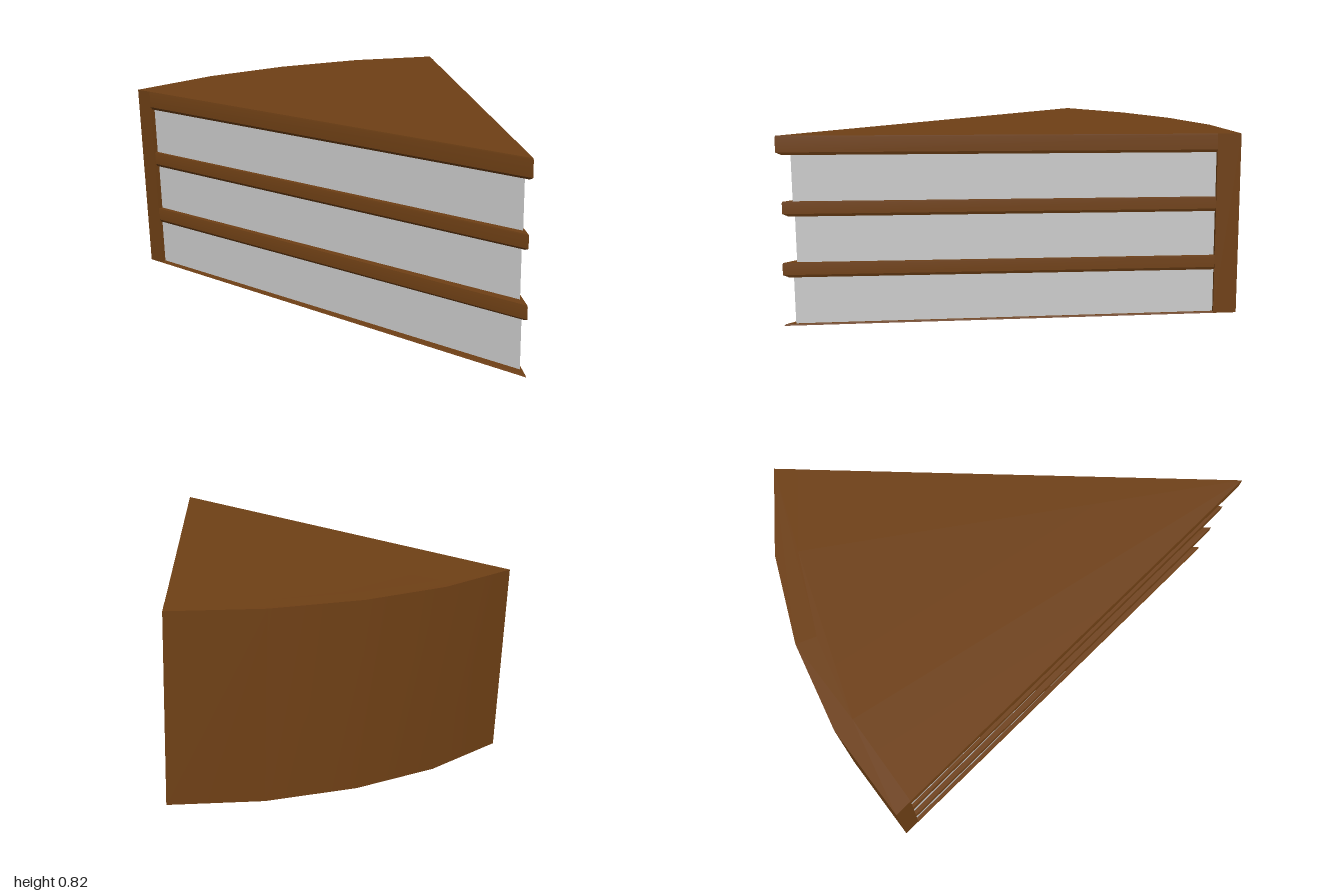
import * as THREE from 'three';
import { toCreasedNormals } from 'three/addons/utils/BufferGeometryUtils.js';

const TIP = [-0.7, 1];
// Outer rim of the slice, from the right corner round to the left one
const RIM = [[0.715, -0.41], [0.41, -0.66], [0.06, -0.845], [-0.31, -0.96], [-0.715, -1]];
// Inner side of the rim icing, moved towards the tip
const INNER = RIM.map(([x, z], i) => {
  const dx = TIP[0] - x, dz = TIP[1] - z;
  const t = (0.105 - 0.0075 * i) / Math.hypot(dx, dz);
  return [x + dx * t, z + dz * t];
});

// Wedge outline up to the rim icing, with its two cut sides drawn in by d
function wedge(d) {
  const arc = INNER.map((p) => [...p]);
  arc[0][0] -= d / 2;
  arc[0][1] -= d / 2;
  arc[4][0] += d;
  return [[TIP[0] + 1.8 * d, TIP[1] - 2.7 * d], ...arc];
}

// Solid through a stack of outlines; rise lifts each one towards the tip
function loft(rings) {
  const pos = [];
  const pts = rings.map(({ outline, y, rise = 0.013 }) => outline.map(([x, z]) => {
    const dist = Math.hypot(x - TIP[0], z - TIP[1]);
    return [x, y + rise * Math.max(0, 1 - dist / 2), z];
  }));
  const tri = (a, b, c) => pos.push(...a, ...b, ...c);
  const n = pts[0].length;
  for (let r = 0; r < pts.length - 1; r++) {
    for (let i = 0; i < n; i++) {
      const j = (i + 1) % n, lo = pts[r], hi = pts[r + 1];
      tri(lo[i], lo[j], hi[j]);
      tri(lo[i], hi[j], hi[i]);
    }
  }
  const flat = rings[0].outline.map(([x, z]) => new THREE.Vector2(x, -z));
  const top = pts[pts.length - 1], bottom = pts[0];
  for (const [a, b, c] of THREE.ShapeUtils.triangulateShape(flat, [])) {
    tri(top[a], top[b], top[c]);
    tri(bottom[c], bottom[b], bottom[a]);
  }
  const geo = new THREE.BufferGeometry();
  geo.setAttribute('position', new THREE.Float32BufferAttribute(pos, 3));
  return toCreasedNormals(geo, 0.4);
}

export function createModel() {
  const cake = new THREE.Group();
  cake.name = 'cakeSlice';
  const icing = new THREE.MeshStandardMaterial({ color: 0x6f4015 });
  const sponge = new THREE.MeshStandardMaterial({ color: 0xcccccc });
  const add = (name, rings, material) => {
    const mesh = new THREE.Mesh(loft(rings), material);
    mesh.name = name;
    cake.add(mesh);
  };

  // Icing round the curved back
  const crust = [...RIM, ...[...INNER].reverse()];
  add('rimIcing', [{ outline: crust, y: 0, rise: 0 }, { outline: crust, y: 0.81 }], icing);

  // Thin icing under the slice
  add('baseIcing', [
    { outline: wedge(0), y: 0, rise: 0 },
    { outline: wedge(0.003), y: 0.007, rise: 0 },
  ], icing);

  // Icing layers with a chamfered lower edge
  const layers = [
    ['lowerFilling', 0.2, 0.265, 0.002],
    ['upperFilling', 0.465, 0.53, 0.005],
    ['topIcing', 0.728, 0.81, 0],
  ];
  for (const [name, y0, y1, d] of layers) {
    add(name, [
      { outline: wedge(d + 0.008), y: y0 },
      { outline: wedge(d), y: y0 + 0.012 },
      { outline: wedge(d), y: y1 - 0.006 },
      { outline: wedge(d + 0.001), y: y1 },
    ], icing);
  }

  // Sponge layers, set back from the icing
  const sponges = [
    ['lowerSponge', 0.004, 0.22, 0.016],
    ['middleSponge', 0.25, 0.48, 0.021],
    ['upperSponge', 0.515, 0.745, 0.019],
  ];
  for (const [name, y0, y1, d] of sponges) {
    add(name, [
      { outline: wedge(d), y: y0, rise: 0 },
      { outline: wedge(d), y: y1 },
    ], sponge);
  }
  return cake;
}
